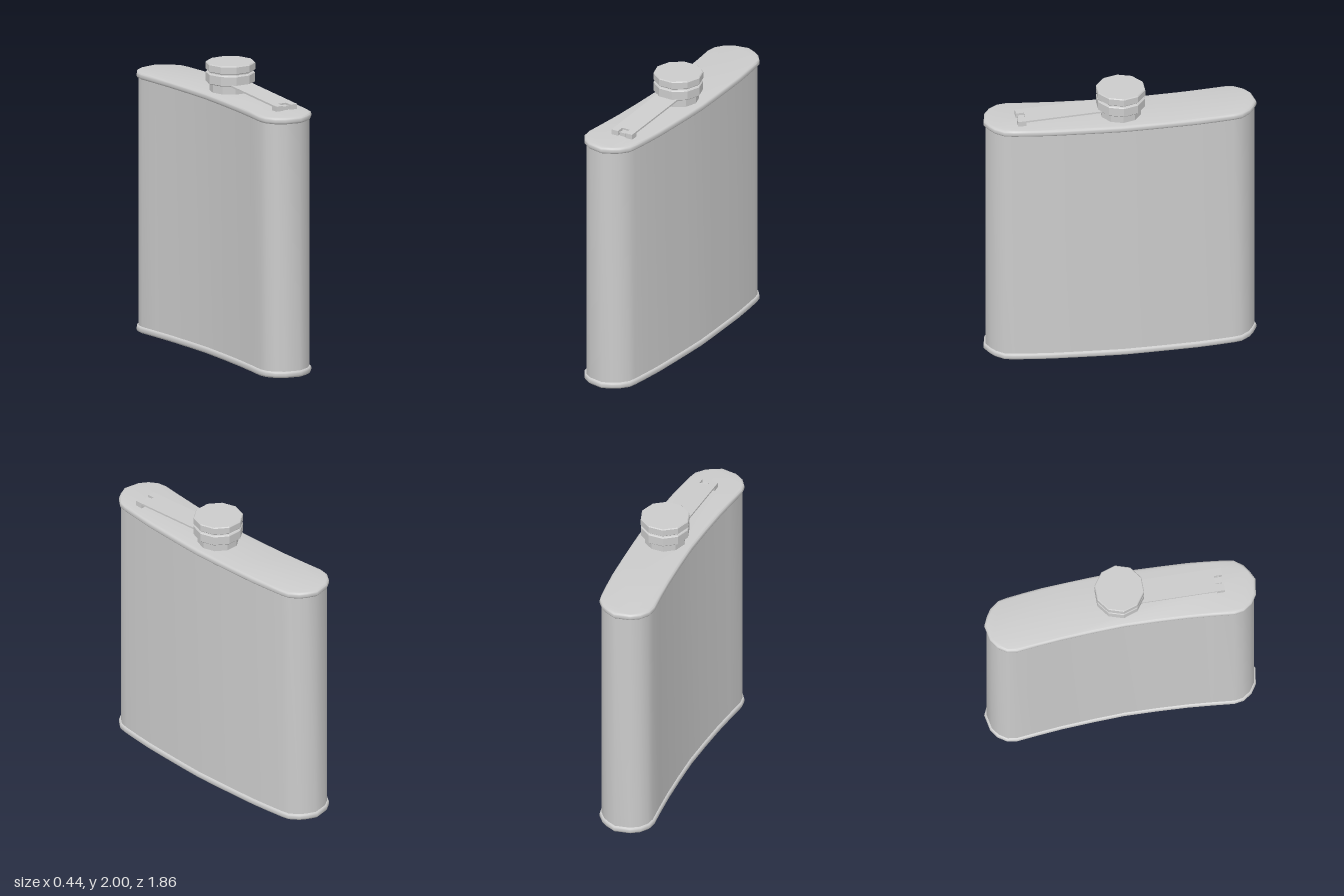
import * as THREE from 'three';
import { toCreasedNormals } from 'three/addons/utils/BufferGeometryUtils.js';

const steel = new THREE.MeshStandardMaterial({ color: 0xcccccc });

// Half of the curved footprint (x, z >= 0), from convex face to concave face
const HALF = [
  [0.218, 0], [0.213, 0.16], [0.206, 0.32], [0.197, 0.5], [0.184, 0.63], [0.17, 0.75], [0.157, 0.81],
  [0.11, 0.87], [0.065, 0.9], [0, 0.93], [-0.11, 0.91], [-0.17, 0.87], [-0.21, 0.81],
  [-0.22, 0.745], [-0.205, 0.6], [-0.19, 0.43], [-0.179, 0.22], [-0.172, 0],
];

function footprint() {
  const mirrored = HALF.slice(1, -1).reverse().map(([x, z]) => [x, -z]);
  return new THREE.Shape([...HALF, ...mirrored].map(([x, z]) => new THREE.Vector2(x, z)));
}

function add(group, name, geometry, x = 0, y = 0, z = 0) {
  const mesh = new THREE.Mesh(geometry, steel);
  mesh.name = name;
  mesh.position.set(x, y, z);
  group.add(mesh);
  return mesh;
}

// Upright slab of the footprint, inset by a margin, with rounded edges
function slab(y0, y1, inset, round, segments) {
  const geometry = new THREE.ExtrudeGeometry(footprint(), {
    depth: y1 - y0 - 2 * round, bevelEnabled: true, bevelThickness: round,
    bevelSize: round, bevelOffset: -inset - round, bevelSegments: segments,
  });
  geometry.rotateX(-Math.PI / 2).translate(0, y0 + round, 0);
  return toCreasedNormals(geometry, 0.75);
}

// Ten-sided turned part with a corner on the x axis
function turned(profile) {
  const points = profile.map(([r, y]) => new THREE.Vector2(r, y));
  const geometry = new THREE.LatheGeometry(points, 10, Math.PI / 2);
  return toCreasedNormals(geometry, 0.3);
}

export function createModel() {
  const flask = new THREE.Group();
  flask.name = 'flask';

  // Curved body between two rolled rims
  add(flask, 'body', slab(0.02, 1.78, 0.013, 0.002, 1));
  add(flask, 'bottomRim', slab(0, 0.045, 0, 0.016, 3));
  add(flask, 'topRim', slab(1.755, 1.8, 0, 0.016, 3));

  // Neck and grooved screw cap
  const cx = 0.024;
  add(flask, 'neck', turned([[0, 1.79], [0.14, 1.79], [0.14, 1.87], [0, 1.87]]), cx);
  add(flask, 'cap', turned([
    [0, 1.86], [0.162, 1.86], [0.168, 1.866], [0.168, 1.926], [0.162, 1.932],
    [0.15, 1.934], [0.15, 1.942], [0.164, 1.944], [0.169, 1.949], [0.169, 1.994], [0.163, 2], [0, 2],
  ]), cx);

  // Sloping retaining strap, notched at its far end
  const hw = 0.082, length = 0.61, notch = 0.03;
  const outline = new THREE.Shape([
    [-hw, 0], [hw, 0], [hw, length], [notch, length], [notch, length - 0.055],
    [-notch, length - 0.055], [-notch, length], [-hw, length],
  ].map(([x, z]) => new THREE.Vector2(x, z)));
  const strapGeometry = new THREE.ExtrudeGeometry(outline, { depth: 0.012, bevelEnabled: false });
  strapGeometry.rotateX(Math.PI / 2);
  const strap = add(flask, 'strap', strapGeometry, cx, 1.871, 0.1);
  strap.rotation.x = Math.atan2(0.036, length);

  // Hinge: a knuckle each side of the notch, and the lug with its pin
  for (const side of [-1, 1]) {
    add(flask, side < 0 ? 'rightKnuckle' : 'leftKnuckle',
      new THREE.BoxGeometry(hw - notch, 0.034, 0.055), cx + side * (hw + notch) / 2, 1.817, 0.682);
  }
  add(flask, 'hingeLug', new THREE.BoxGeometry(0.042, 0.03, 0.046), cx, 1.811, 0.676);
  const pin = add(flask, 'hingePin', new THREE.CylinderGeometry(0.008, 0.008, 0.14, 8), cx, 1.815, 0.682);
  pin.rotation.z = Math.PI / 2;

  return flask;
}
